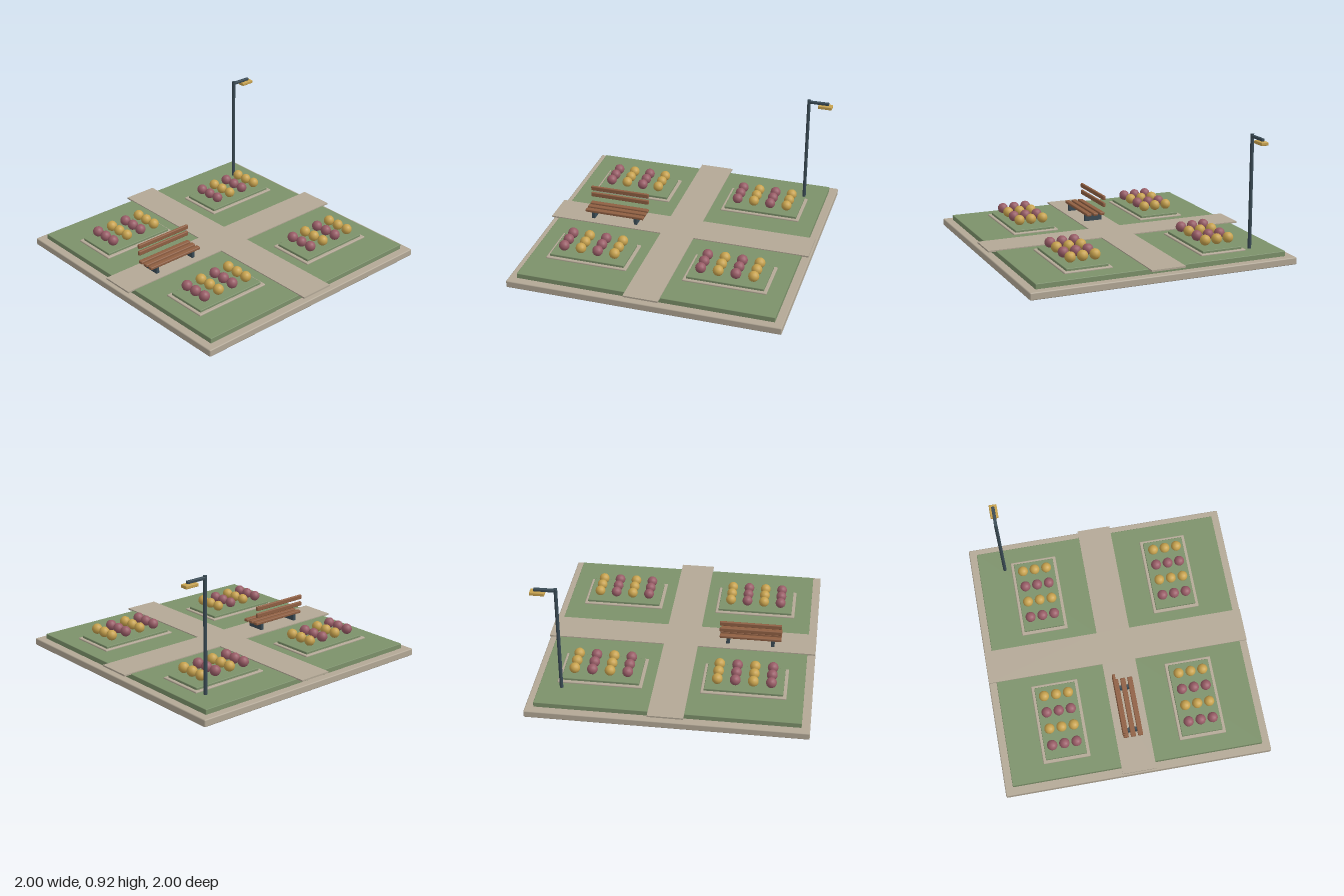
import * as THREE from 'three';
import { RoundedBoxGeometry } from 'three/addons/geometries/RoundedBoxGeometry.js';

const material = (name, color) => {
  const m = new THREE.MeshStandardMaterial({ color });
  m.name = name;
  return m;
};

export function createModel() {
  const stone = material('stone', 0xb3a896);
  const grass = material('grass', 0x7c916a);
  const wood = material('wood', 0x8f5f42);
  const iron = material('iron', 0x3a4b55);
  const rose = material('rose', 0x985c66);
  const gold = material('gold', 0xc7a24e);

  const park = new THREE.Group();
  park.name = 'park';

  const add = (parent, name, geometry, mat, x = 0, y = 0, z = 0) => {
    const mesh = new THREE.Mesh(geometry, mat);
    mesh.name = name;
    mesh.position.set(x, y, z);
    parent.add(mesh);
    return mesh;
  };
  const group = (name, x = 0, y = 0, z = 0) => {
    const g = new THREE.Group();
    g.name = name;
    g.position.set(x, y, z);
    park.add(g);
    return g;
  };
  // Box with a small bevel, placed by its bottom
  const block = (parent, name, [w, h, d], bevel, mat, x, y, z) =>
    add(parent, name, new RoundedBoxGeometry(w, h, d, 1, bevel), mat, x, y + h / 2, z);

  // Ground slab and lawn
  block(park, 'base', [2, 0.053, 2], 0.008, stone, 0, 0, 0);
  block(park, 'lawn', [1.88, 0.04, 1.88], 0.004, grass, 0, 0.05, 0);

  // Crossing paths as one thin plate, overhanging the lawn
  const a = 0.127, b = 0.995;
  const cross = new THREE.Shape([
    [-a, -b], [a, -b], [a, -a], [b, -a], [b, a], [a, a],
    [a, b], [-a, b], [-a, a], [-b, a], [-b, -a], [-a, -a],
  ].map(([x, y]) => new THREE.Vector2(x, y)));
  const pathGeometry = new THREE.ExtrudeGeometry(cross, { depth: 0.012, bevelEnabled: false });
  pathGeometry.rotateX(-Math.PI / 2);
  add(park, 'paths', pathGeometry, stone, 0, 0.085, 0);

  // Four flower beds, each with a kerb, a raised planting and 4 x 3 blooms
  const bloom = new THREE.IcosahedronGeometry(0.039, 2);
  for (const sx of [-1, 1]) {
    for (const sz of [-1, 1]) {
      const bed = group('flowerBed', sx * 0.513, 0, sz * 0.513);
      block(bed, 'kerb', [0.61, 0.02, 0.354], 0.006, stone, 0, 0.08, 0);
      block(bed, 'planting', [0.563, 0.03, 0.308], 0.004, grass, 0, 0.087, 0);
      for (let i = 0; i < 4; i++) {
        for (let j = -1; j <= 1; j++) {
          add(bed, 'bloom', bloom, i % 2 ? gold : rose, (i - 1.5) * 0.128, 0.168, j * 0.091);
        }
      }
    }
  }

  // Bench with three seat slats, two back slats and two legs
  const bench = group('bench', -0.513, 0, 0);
  for (const z of [-0.054, 0, 0.054]) {
    block(bench, 'seatSlat', [0.46, 0.022, 0.038], 0.006, wood, 0, 0.144, z);
  }
  for (const y of [0.206, 0.26]) {
    block(bench, 'backSlat', [0.46, 0.034, 0.021], 0.006, wood, 0, y, -0.07);
  }
  for (const x of [-0.167, 0.167]) {
    block(bench, 'benchLeg', [0.026, 0.054, 0.14], 0.004, iron, x, 0.093, 0);
  }

  // Street lamp
  const lamp = group('lamp', 0.777, 0, -0.74);
  add(lamp, 'pole', new THREE.CylinderGeometry(0.013, 0.013, 0.921, 12), iron, 0, 0.4615, 0);
  block(lamp, 'arm', [0.164, 0.021, 0.024], 0.005, iron, 0.071, 0.895, 0);
  block(lamp, 'lampHead', [0.106, 0.025, 0.058], 0.006, gold, 0.127, 0.869, 0);

  return park;
}
